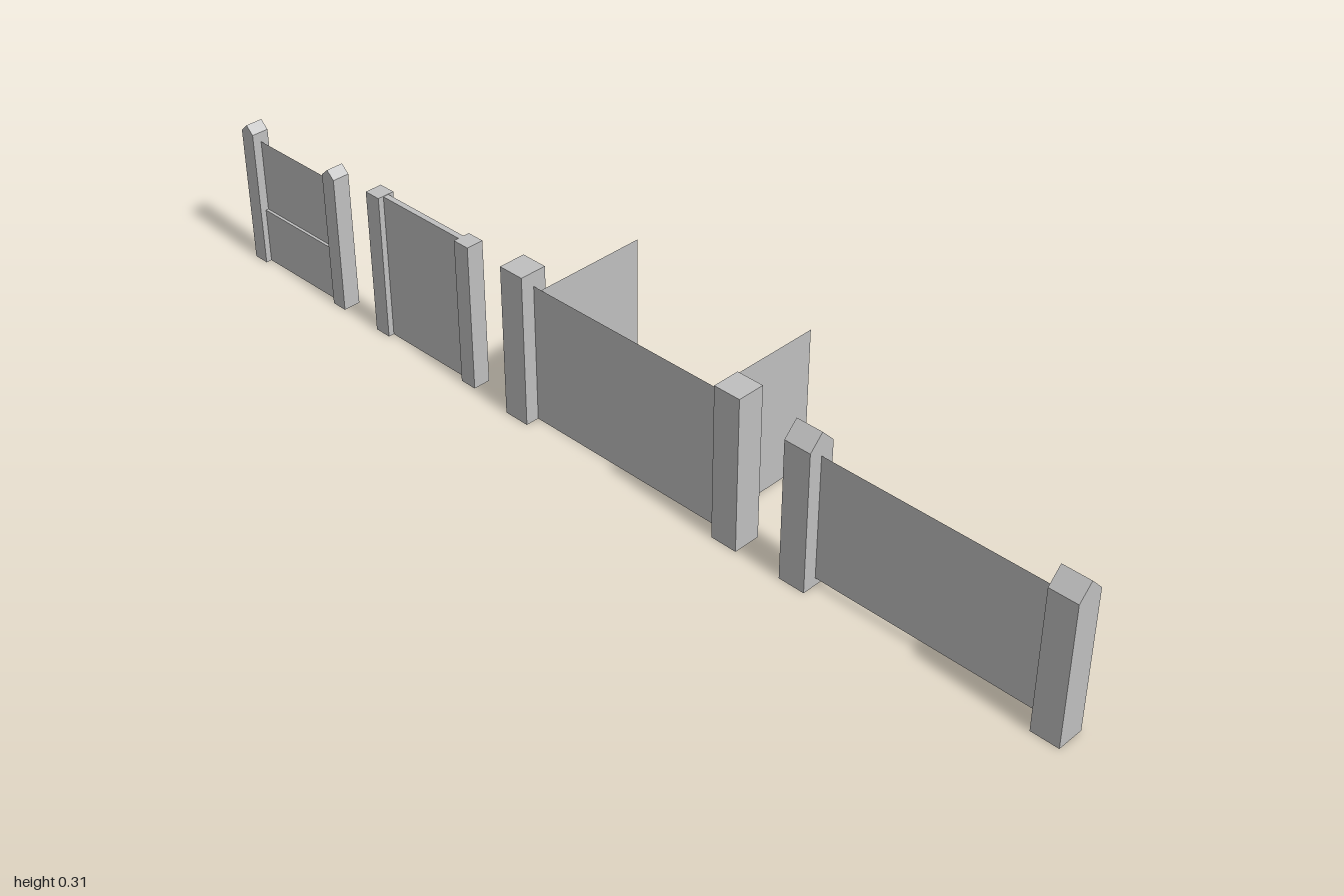
import * as THREE from 'three';

const Z = 0.105; // common centre line of all the fence sections

export function createModel() {
  const model = new THREE.Group();
  const grey = new THREE.MeshStandardMaterial({ color: 0xc0c0c0, side: THREE.DoubleSide });
  grey.name = 'plainGrey';

  const add = (parent, name, geometry, x, y, z) => {
    const mesh = new THREE.Mesh(geometry, grey);
    mesh.name = name;
    mesh.position.set(x, y, z);
    parent.add(mesh);
    return mesh;
  };

  const section = (name) => {
    const group = new THREE.Group();
    group.name = name;
    model.add(group);
    return group;
  };

  // Square post between x0 and x1; ridge is '', 'x' or 'z'; open drops the underside.
  const post = (parent, x0, x1, depth, shoulder, { peak = shoulder, ridge = '', open = false } = {}) => {
    const box = new THREE.BoxGeometry(x1 - x0, shoulder, depth, ridge === 'z' ? 2 : 1, 1, ridge === 'x' ? 2 : 1);
    const p = box.attributes.position;
    for (let i = 0; i < p.count; i++) {
      const across = ridge === 'x' ? p.getZ(i) : p.getX(i);
      if (ridge && p.getY(i) > 0 && Math.abs(across) < 1e-4) p.setY(i, peak - shoulder / 2);
    }
    if (open) {
      const under = box.groups[3];
      box.setIndex(Array.from(box.index.array).filter((_, i) => i < under.start || i >= under.start + under.count));
    }
    box.clearGroups();
    const flat = box.toNonIndexed();
    flat.computeVertexNormals();
    add(parent, 'post', flat, (x0 + x1) / 2, shoulder / 2, Z);
  };

  // Upright panel facing the front; thickness 0 makes a single sheet.
  const panel = (parent, name, x0, x1, y0, y1, thickness = 0) => {
    const geometry = thickness
      ? new THREE.BoxGeometry(x1 - x0, y1 - y0, thickness)
      : new THREE.PlaneGeometry(x1 - x0, y1 - y0);
    add(parent, name, geometry, (x0 + x1) / 2, (y0 + y1) / 2, Z);
  };

  // Half-height wall section with a thin upper sheet and small ridged posts
  const ledge = section('ledgeSection');
  for (const [a, b] of [[-1, -0.966], [-0.752, -0.718]]) {
    post(ledge, a, b, 0.036, 0.29, { peak: 0.306, ridge: 'z' });
  }
  panel(ledge, 'lowerPanel', -0.966, -0.752, 0, 0.117, 0.012);
  panel(ledge, 'upperPanel', -0.966, -0.752, 0.117, 0.27);

  // Solid section with flat posts
  const solid = section('solidSection');
  for (const [a, b] of [[-0.621, -0.585], [-0.375, -0.339]]) post(solid, a, b, 0.036, 0.306);
  panel(solid, 'panel', -0.585, -0.375, 0, 0.305, 0.012);

  // Section with two wings running to the back
  const winged = section('wingedSection');
  for (const [a, b] of [[-0.241, -0.186], [0.274, 0.33]]) post(winged, a, b, 0.056, 0.315, { open: true });
  panel(winged, 'panel', -0.186, 0.274, 0, 0.286);
  const back = -0.133;
  for (const x of [-0.167, 0.25]) {
    const wing = add(winged, 'wing', new THREE.PlaneGeometry(Z - back, 0.286), x, 0.143, (Z + back) / 2);
    wing.rotation.y = Math.PI / 2;
  }

  // Raised panel section with gabled posts
  const gabled = section('gabledSection');
  for (const [a, b] of [[0.428, 0.483], [0.944, 1]]) {
    post(gabled, a, b, 0.056, 0.286, { peak: 0.315, ridge: 'x', open: true });
  }
  panel(gabled, 'panel', 0.483, 0.944, 0.016, 0.268);

  return model;
}
